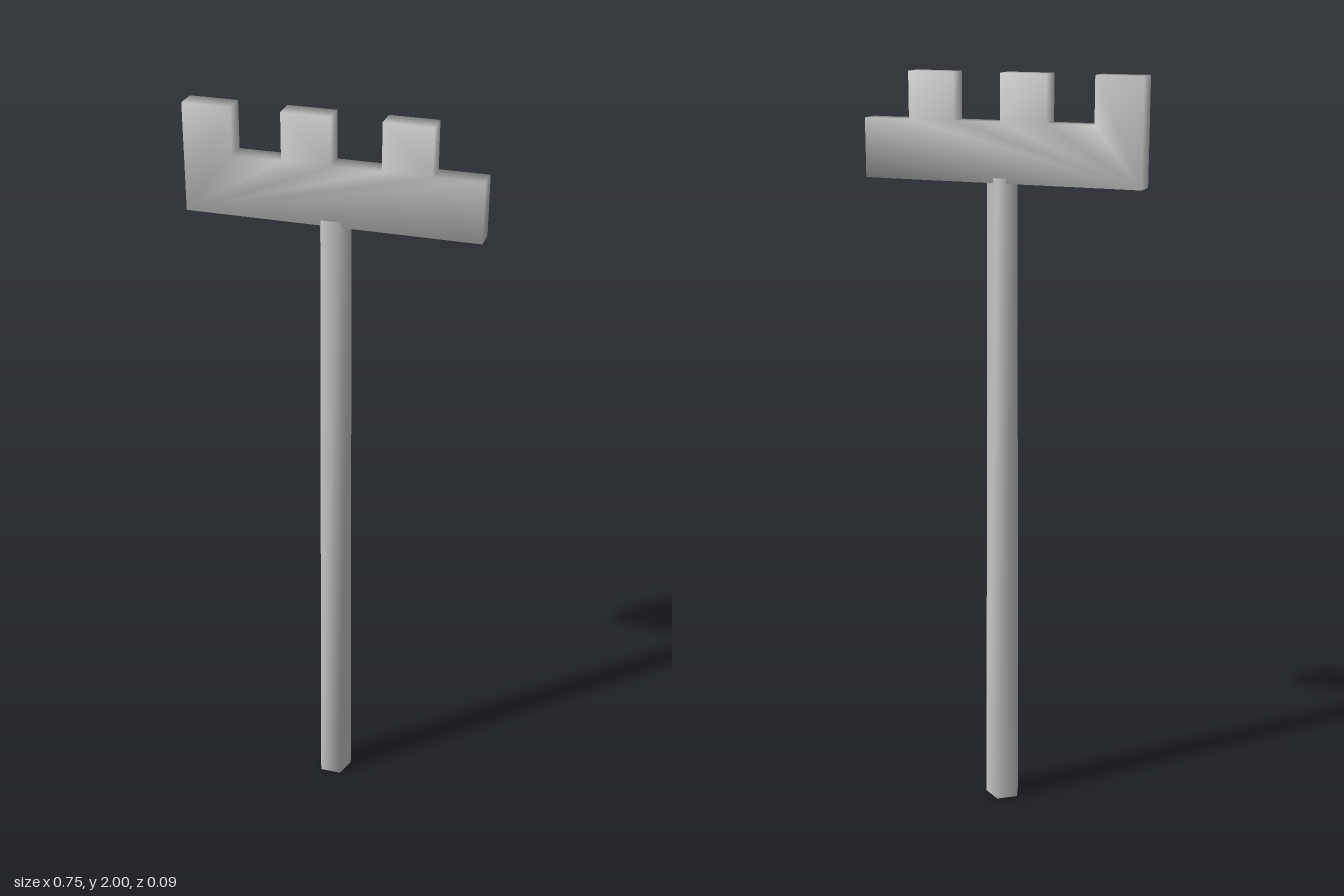
import * as THREE from 'three';
import { mergeVertices } from 'three/addons/utils/BufferGeometryUtils.js';

// Share corner vertices so shading blends across the edges
function smooth(geometry) {
  geometry.deleteAttribute('uv');
  geometry.deleteAttribute('normal');
  const merged = mergeVertices(geometry, 1e-4);
  merged.computeVertexNormals();
  return merged;
}

export function createModel() {
  const group = new THREE.Group();
  const material = new THREE.MeshStandardMaterial({ color: 0xcccccc });
  const add = (name, geometry) => {
    const mesh = new THREE.Mesh(smooth(geometry), material);
    mesh.name = name;
    group.add(mesh);
    return mesh;
  };

  // Five-sided tapering shaft, one edge to the back and a flat to the front
  const height = 1.74;
  const shaft = add('shaft', new THREE.CylinderGeometry(0.042, 0.049, height, 5, 1, false, Math.PI));
  shaft.position.set(0, height / 2, 0.004);

  // Flat head with three square teeth, the right end left low
  const left = -0.374, right = 0.374, bottom = 1.727, notch = 1.88, top = 2;
  const outline = new THREE.Shape();
  outline.moveTo(left, bottom);
  outline.lineTo(right, bottom);
  outline.lineTo(right, notch);
  for (const x of [0.125, -0.125, left]) {
    const end = x === left ? -0.25 : x + 0.124;
    outline.lineTo(end, notch);
    outline.lineTo(end, top);
    outline.lineTo(x, top);
    if (x !== left) outline.lineTo(x, notch);
  }
  outline.closePath();
  const head = add('toothedHead', new THREE.ExtrudeGeometry(outline, { depth: 0.056, bevelEnabled: false }));
  head.position.z = -0.025;

  return group;
}
